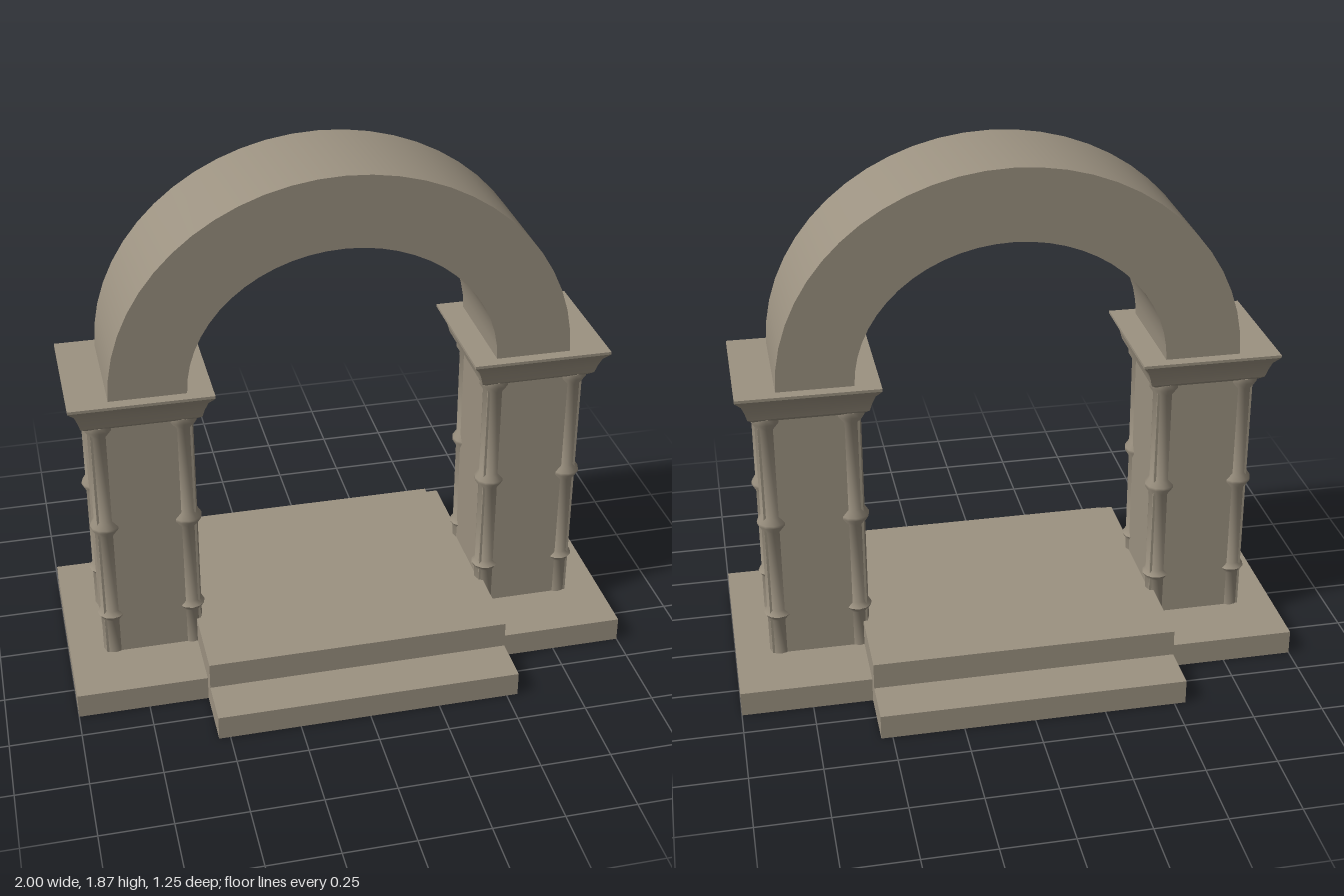
import * as THREE from 'three';
import { toCreasedNormals } from 'three/addons/utils/BufferGeometryUtils.js';

export function createModel() {
  const model = new THREE.Group();
  model.name = 'stoneArchway';
  const stone = new THREE.MeshStandardMaterial({ color: 0x9c9281 });
  stone.name = 'weathered stone';

  const add = (parent, name, geometry, x = 0, y = 0, z = 0) => {
    const mesh = new THREE.Mesh(geometry, stone);
    mesh.name = name;
    mesh.position.set(x, y, z);
    parent.add(mesh);
    return mesh;
  };
  // box given by its full width and depth, and bottom and top heights
  const block = (parent, name, w, d, y0, y1, x = 0, z = 0) =>
    add(parent, name, new THREE.BoxGeometry(w, y1 - y0, d), x, (y0 + y1) / 2, z);
  // square turned profile: [half width, height] from bottom to top
  const squareLathe = (profile) => {
    const points = profile.map(([r, y]) => new THREE.Vector2(r * Math.SQRT2, y));
    const g = new THREE.LatheGeometry(points, 4, Math.PI / 4);
    return toCreasedNormals(g, 0.6);
  };

  // stepped base: the side wings and the walkway do not overlap
  const base = new THREE.Group();
  base.name = 'base';
  model.add(base);
  for (const s of [1, -1]) block(base, 'sideSlab', 0.46, 0.8, 0, 0.09, s * 0.77);
  block(base, 'lowerStep', 1.08, 1.246, 0, 0.09);
  block(base, 'walkway', 1.08, 0.91, 0.09, 0.187);

  // slim corner shaft with three raised rings
  const shaftProfile = [[0, 0.09], [0.038, 0.09], [0.038, 0.23], [0.05, 0.25], [0.038, 0.27]];
  shaftProfile.push([0.038, 0.59], [0.053, 0.615], [0.053, 0.625], [0.038, 0.65]);
  shaftProfile.push([0.038, 0.99], [0.053, 1.015], [0.053, 1.035], [0, 1.035]);
  const shaft = toCreasedNormals(
    new THREE.LatheGeometry(shaftProfile.map(([r, y]) => new THREE.Vector2(r, y)), 12), 0.9);

  // flared capital, closed at top and bottom
  const capital = squareLathe([
    [0, 1.03], [0.187, 1.03], [0.205, 1.045], [0.213, 1.075],
    [0.224, 1.105], [0.246, 1.132], [0.246, 1.142], [0, 1.142],
  ]);

  for (const s of [1, -1]) {
    const pillar = new THREE.Group();
    pillar.name = s > 0 ? 'leftPillar' : 'rightPillar';
    pillar.position.x = s * 0.697;
    model.add(pillar);
    block(pillar, 'pillarCore', 0.346, 0.346, 0.09, 1.04);
    for (const x of [0.143, -0.143])
      for (const z of [0.143, -0.143]) add(pillar, 'cornerShaft', shaft, x, 0, z);
    add(pillar, 'capital', capital);
  }

  // arch: half ring between two ellipses
  const springY = 1.14, steps = 28;
  const ring = [];
  for (let i = 0; i <= steps; i++) {
    const a = (i / steps) * Math.PI;
    ring.push(new THREE.Vector2(0.805 * Math.cos(a), 0.73 * Math.sin(a)));
  }
  for (let i = steps; i >= 0; i--) {
    const a = (i / steps) * Math.PI;
    ring.push(new THREE.Vector2(0.54 * Math.cos(a), 0.475 * Math.sin(a)));
  }
  const archGeometry = new THREE.ExtrudeGeometry(new THREE.Shape(ring), { depth: 0.41, bevelEnabled: false });
  archGeometry.translate(0, 0, -0.205);
  add(model, 'arch', toCreasedNormals(archGeometry, 0.6), 0, springY, 0);

  return model;
}
